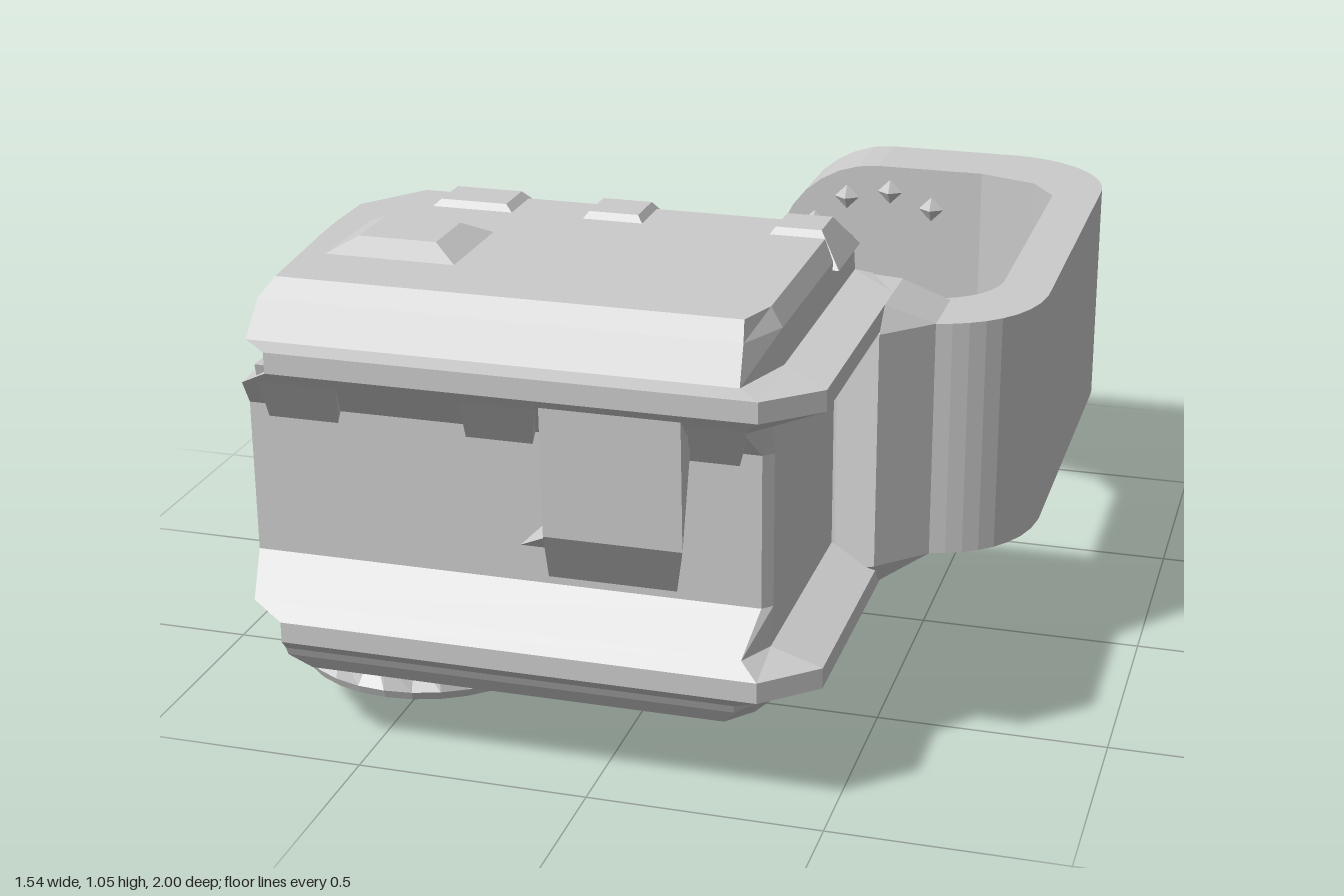
import * as THREE from 'three';
import { ConvexGeometry } from 'three/addons/geometries/ConvexGeometry.js';

export function createModel() {
  const model = new THREE.Group();
  const mat = new THREE.MeshStandardMaterial({ color: 0xcccccc, flatShading: true });
  const add = (name, geo) => {
    const mesh = new THREE.Mesh(geo, mat);
    mesh.name = name;
    model.add(mesh);
    return mesh;
  };
  const hull = (name, pts) => add(name, new ConvexGeometry(pts.map(p => new THREE.Vector3(...p))));

  // Skin a stack of horizontal outlines, each { y, pts: [[x, z], ...] }
  function loft(levels) {
    const pos = [], idx = [], n = levels[0].pts.length;
    for (const { y, pts } of levels) for (const [x, z] of pts) pos.push(x, y, z);
    for (let l = 0; l < levels.length - 1; l++) {
      for (let i = 0; i < n; i++) {
        const a = l * n + i, b = l * n + (i + 1) % n;
        idx.push(a, b, b + n, a, b + n, a + n);
      }
    }
    const top = (levels.length - 1) * n;
    for (let i = 1; i < n - 1; i++) idx.push(0, i + 1, i, top, top + i, top + i + 1);
    const g = new THREE.BufferGeometry();
    g.setAttribute('position', new THREE.Float32BufferAttribute(pos, 3));
    g.setIndex(idx);
    const flat = g.toNonIndexed();
    flat.computeVertexNormals();
    return flat;
  }

  // Outline of the case: left/right ends, back, front, front corner cut, optional side pocket
  const outline = (y, x0, x1, zb, zf, cx, cz, pocket = 0) => ({
    y,
    pts: [
      [x0 + cx, zf], [x1 - cx, zf], [x1, zf - cz], [x1, zb + 0.12], [Math.min(x1, 0.4), zb],
      [x0 + 0.1, zb], [x0 + pocket * 0.9, zb + 0.14 - pocket * 0.4],
      [x0 + pocket, zb + 0.23], [x0, zb + 0.28],
    ],
  });

  // Case with two projecting rails and a recessed waist
  add('case', loft([
    outline(0.15, -0.70, 0.31, 0.21, 0.88, 0.05, 0.06),
    outline(0.19, -0.75, 0.35, 0.18, 0.91, 0.06, 0.08),
    outline(0.21, -0.76, 0.36, 0.18, 0.92, 0.07, 0.08),
    outline(0.265, -0.77, 0.47, 0.18, 1.0, 0.11, 0.1),
    outline(0.31, -0.77, 0.47, 0.18, 1.0, 0.11, 0.1),
    outline(0.34, -0.77, 0.36, 0.18, 0.97, 0.04, 0.08, 0.03),
    outline(0.42, -0.77, 0.36, 0.18, 0.89, 0.02, 0.02, 0.07),
    outline(0.75, -0.77, 0.36, 0.18, 0.89, 0.02, 0.02, 0.07),
    outline(0.82, -0.77, 0.36, 0.18, 0.96, 0.04, 0.08, 0.03),
    outline(0.86, -0.77, 0.47, 0.18, 1.0, 0.11, 0.1),
    outline(0.905, -0.77, 0.47, 0.18, 1.0, 0.11, 0.1),
    outline(0.91, -0.77, 0.36, 0.18, 0.95, 0.05, 0.15),
    outline(0.985, -0.76, 0.355, 0.18, 0.905, 0.05, 0.11),
    outline(1.025, -0.71, 0.33, 0.23, 0.88, 0.03, 0.09),
  ]));

  // Tab and wedges hanging from the upper rail
  const wedge = (name, xa, xb, yFront, yBack) => hull(name, [
    [xa, 0.87, 0.88], [xb, 0.87, 0.88], [xa, 0.87, 0.98], [xb, 0.87, 0.98],
    [xa, yFront, 0.97], [xb, yFront, 0.97],
    [xa - 0.02, yBack, 0.88], [xb - 0.04, yBack, 0.88],
  ]);
  wedge('frontTab', -0.09, 0.2, 0.56, 0.42);
  wedge('frontWedge', -0.69, -0.52, 0.83, 0.71);
  wedge('frontWedge', -0.26, -0.1, 0.83, 0.71);
  wedge('frontWedge', 0.21, 0.33, 0.83, 0.71);
  hull('tabFoot', [
    [-0.18, 0.49, 0.88], [-0.09, 0.49, 0.88], [-0.09, 0.58, 0.88], [-0.09, 0.55, 0.95],
  ]);

  // Worn lumps along the top, as low frusta
  const lump = (x, z, w, d, y, h) => {
    const pts = [];
    for (const sx of [-1, 1]) for (const sz of [-1, 1]) {
      pts.push([x + sx * w / 2, y, z + sz * d / 2], [x + sx * w / 4, y + h, z + sz * d / 4]);
    }
    hull('topLump', pts);
  };
  for (const [x, w] of [[-0.46, 0.3], [-0.14, 0.22], [0.27, 0.2]]) lump(x, 0.28, w, 0.2, 0.97, 0.07);
  lump(-0.5, 0.6, 0.34, 0.28, 1.01, 0.045);

  // Hooked strap: plan profile extruded upward
  const s = new THREE.Shape();
  s.moveTo(0.195, 1.0);
  s.lineTo(0.5, 1.0);
  s.absarc(0.5, 0.73, 0.27, Math.PI / 2, 0, true);
  s.lineTo(0.77, -0.08);
  s.bezierCurveTo(0.76, -0.24, 0.66, -0.31, 0.57, -0.33);
  s.lineTo(0.47, -0.38);
  s.lineTo(0.34, -0.36);
  s.lineTo(0.34, -0.18);
  s.lineTo(0.48, -0.18);
  s.quadraticCurveTo(0.64, -0.16, 0.66, -0.02);
  s.lineTo(0.66, 0.67);
  s.lineTo(0.60, 0.76);
  s.lineTo(0.46, 0.81);
  s.lineTo(0.195, 0.81);
  const strap = new THREE.ExtrudeGeometry(s, { depth: 0.53, bevelEnabled: false, curveSegments: 8 });
  strap.rotateX(-Math.PI / 2).translate(0, 0.325, 0);
  add('strap', strap);

  // Rounded end of the strap
  const end = new THREE.CylinderGeometry(0.265, 0.265, 0.19, 32);
  end.rotateX(Math.PI / 2).translate(0.195, 0.59, -0.905);
  add('strapEnd', end);

  // Flared root joining strap and case
  hull('strapRoot', [0.27, 0.905].flatMap(y => [[0.36, y, 0.18], [0.47, y, 0.2], [0.47, y, 0.38], [0.36, y, 0.36]])
    .concat([0.325, 0.855].flatMap(y => [[0.57, y, 0.17], [0.57, y, 0.33], [0.47, y, 0.43]])));

  // Small teeth inside the strap end
  for (let i = 0; i < 9; i++) {
    const a = Math.PI * (0.3 + i * 0.175);
    const tooth = new THREE.ConeGeometry(0.035, 0.025, 4);
    tooth.rotateX(Math.PI / 2).translate(0.21 + 0.21 * Math.cos(a), 0.59 + 0.2 * Math.sin(a), -0.8);
    add('tooth', tooth);
  }

  // Foot under the case: flat disc, fluted skirt and fluted nozzle
  const profile = [[0, 0], [0.055, 0], [0.12, 0.085], [0.14, 0.095], [0.265, 0.095], [0.275, 0.115], [0.26, 0.18]];
  const foot = new THREE.LatheGeometry(profile.map(p => new THREE.Vector2(...p)), 28);
  const p = foot.attributes.position, rows = profile.length;
  for (let i = 0; i < p.count; i++) {
    const row = i % rows, odd = Math.floor(i / rows) % 2;
    const k = odd && (row === 2 || row === 6) ? 0.8 : 1;
    p.setXYZ(i, p.getX(i) * k, p.getY(i), p.getZ(i) * k * 0.9);
  }
  foot.translate(-0.49, 0, 0.63);
  foot.computeVertexNormals();
  add('foot', foot);

  return model;
}
